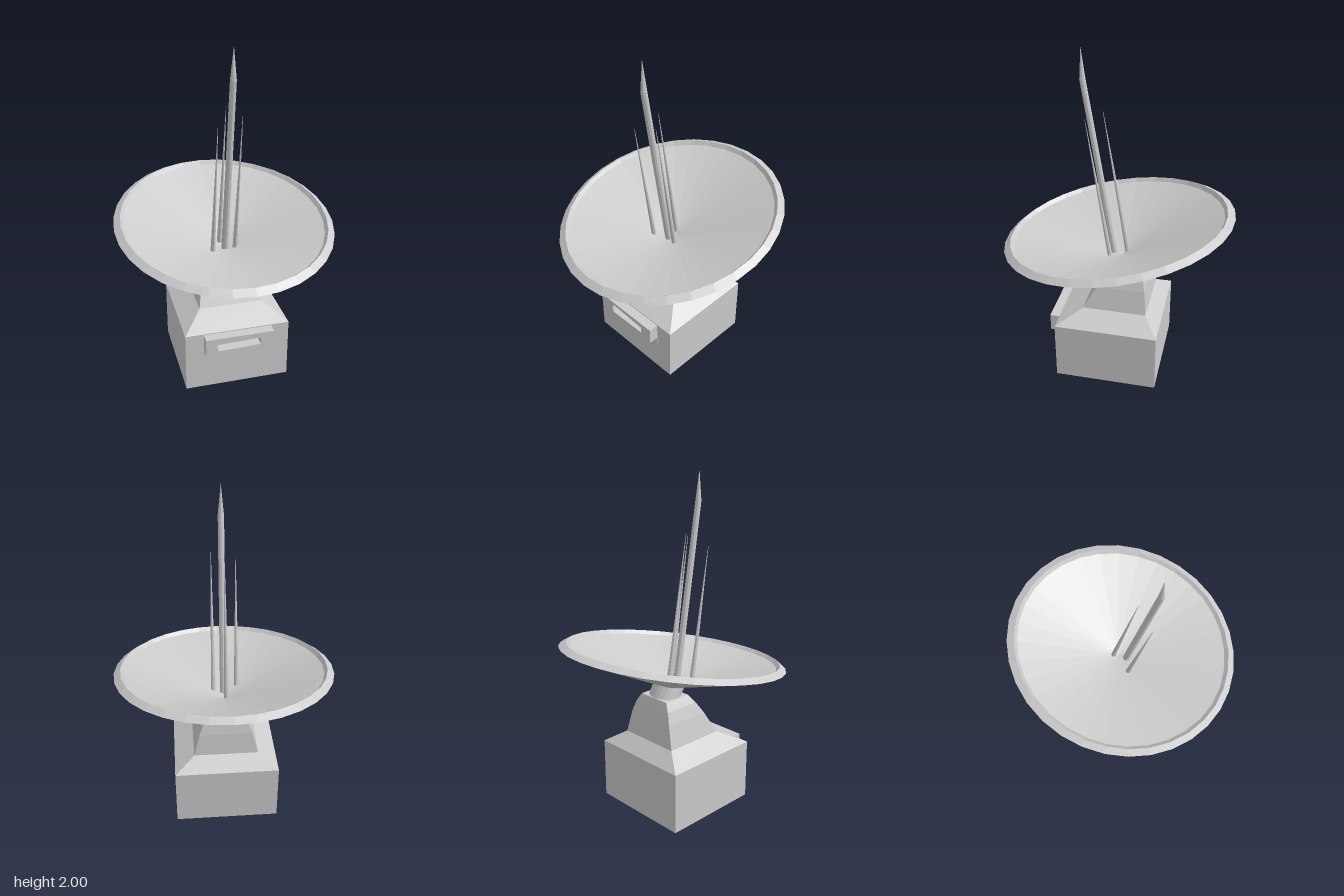
import * as THREE from 'three';

const material = new THREE.MeshStandardMaterial({ color: 0xcccccc, flatShading: true });
const openMaterial = new THREE.MeshStandardMaterial({ color: 0xcccccc, flatShading: true, side: THREE.DoubleSide });

function part(name, geometry, mat = material) {
  const mesh = new THREE.Mesh(geometry, mat);
  mesh.name = name;
  return mesh;
}

// Moves every vertex of a geometry by a rule
function reshape(geometry, rule) {
  const pos = geometry.attributes.position;
  const v = new THREE.Vector3();
  for (let i = 0; i < pos.count; i++) {
    rule(v.fromBufferAttribute(pos, i));
    pos.setXYZ(i, v.x, v.y, v.z);
  }
  geometry.computeVertexNormals();
  return geometry;
}

// Stacked rectangular sections; each row is [y, half width, back z, front z]
function stack(rows) {
  const n = rows.length - 1;
  return reshape(new THREE.BoxGeometry(2, 1, 1, 1, n, 1), (v) => {
    const [y, halfWidth, back, front] = rows[Math.round((v.y + 0.5) * n)];
    v.set(v.x * halfWidth, y, v.z < 0 ? back : front);
  });
}

// Round bar with level ends that leans from one point to another
function leaningBar(from, to, r0, r1, sides = 10, open = false) {
  return reshape(new THREE.CylinderGeometry(r1, r0, 1, sides, 1, open), (v) => {
    const t = v.y + 0.5;
    v.x += from[0] + (to[0] - from[0]) * t;
    v.z += from[2] + (to[2] - from[2]) * t;
    v.y = from[1] + (to[1] - from[1]) * t;
  });
}

export function createModel() {
  const model = new THREE.Group();

  // Square housing and the tapering mount above it
  model.add(part('housing', stack([
    [0, 0.315, -0.29, 0.33],
    [0.37, 0.315, -0.29, 0.33],
    [0.45, 0.195, -0.205, 0.18],
  ])));
  model.add(part('mount', stack([
    [0.45, 0.195, -0.205, 0.18],
    [0.59, 0.16, -0.19, 0.1],
    [0.66, 0.135, -0.175, 0.055],
    [0.71, 0.105, -0.16, 0.02],
  ])));

  // Front panel with a tapered slot, and the thin strip below it
  const panelShape = new THREE.Shape();
  panelShape.moveTo(-0.205, 0.258).lineTo(0.205, 0.258).lineTo(0.205, 0.365).lineTo(-0.205, 0.365).closePath();
  const slot = new THREE.Path();
  slot.moveTo(-0.14, 0.32).lineTo(-0.12, 0.345).lineTo(0.125, 0.33).lineTo(0.125, 0.287).lineTo(-0.13, 0.28).closePath();
  panelShape.holes.push(slot);
  const panel = part('frontPanel', new THREE.ExtrudeGeometry(panelShape, { depth: 0.06, bevelEnabled: false }));
  panel.position.z = 0.33;
  model.add(panel);

  const strip = part('panelStrip', new THREE.BoxGeometry(0.42, 0.043, 0.01));
  strip.position.set(0, 0.2365, 0.328);
  model.add(strip);

  // Short neck leaning forward, its top cut to the tilt of the dish
  const neck = leaningBar([0, 0, -0.075], [0, 1, -0.035], 1, 1, 20, true);
  reshape(neck, (v) => {
    const centre = v.y > 0.5 ? -0.035 : -0.075;
    const dz = (v.z - centre) * 0.085;
    v.set(v.x * 0.1, v.y > 0.5 ? 0.765 - 0.18 * dz : 0.7, centre + dz);
  });
  model.add(part('neck', neck, openMaterial));

  // Shallow conical dish with a raised lip, slightly narrower across
  const profile = [[0, -0.203], [0.696, 0], [0.654, 0.026], [0.635, 0.003], [0, -0.19]];
  const dish = part('dish', new THREE.LatheGeometry(profile.map(([r, y]) => new THREE.Vector2(r, y)), 32));
  dish.position.set(0, 0.935, 0.005);
  dish.rotation.x = THREE.MathUtils.degToRad(10.3);
  dish.scale.x = 0.934;
  model.add(dish);

  // Central mast with its pointed tip
  const mast = new THREE.Group();
  mast.name = 'mast';
  mast.add(part('mastRod', leaningBar([0, 0.75, 0.026], [0, 1.82, 0.2], 0.021, 0.018)));
  mast.add(part('mastTip', leaningBar([0, 1.82, 0.2], [0, 2, 0.207], 0.018, 0)));
  model.add(mast);

  // Three thin needles around the mast
  const needles = [
    [[-0.084, 0.765, 0.07], [-0.083, 1.57, 0.2]],
    [[0.06, 0.76, 0.04], [0.06, 1.62, 0.178]],
    [[-0.014, 0.76, -0.053], [-0.01, 1.65, 0.092]],
  ];
  needles.forEach(([from, to], i) => {
    model.add(part('needle' + (i + 1), leaningBar(from, to, 0.015, 0.001, 8)));
  });

  return model;
}
